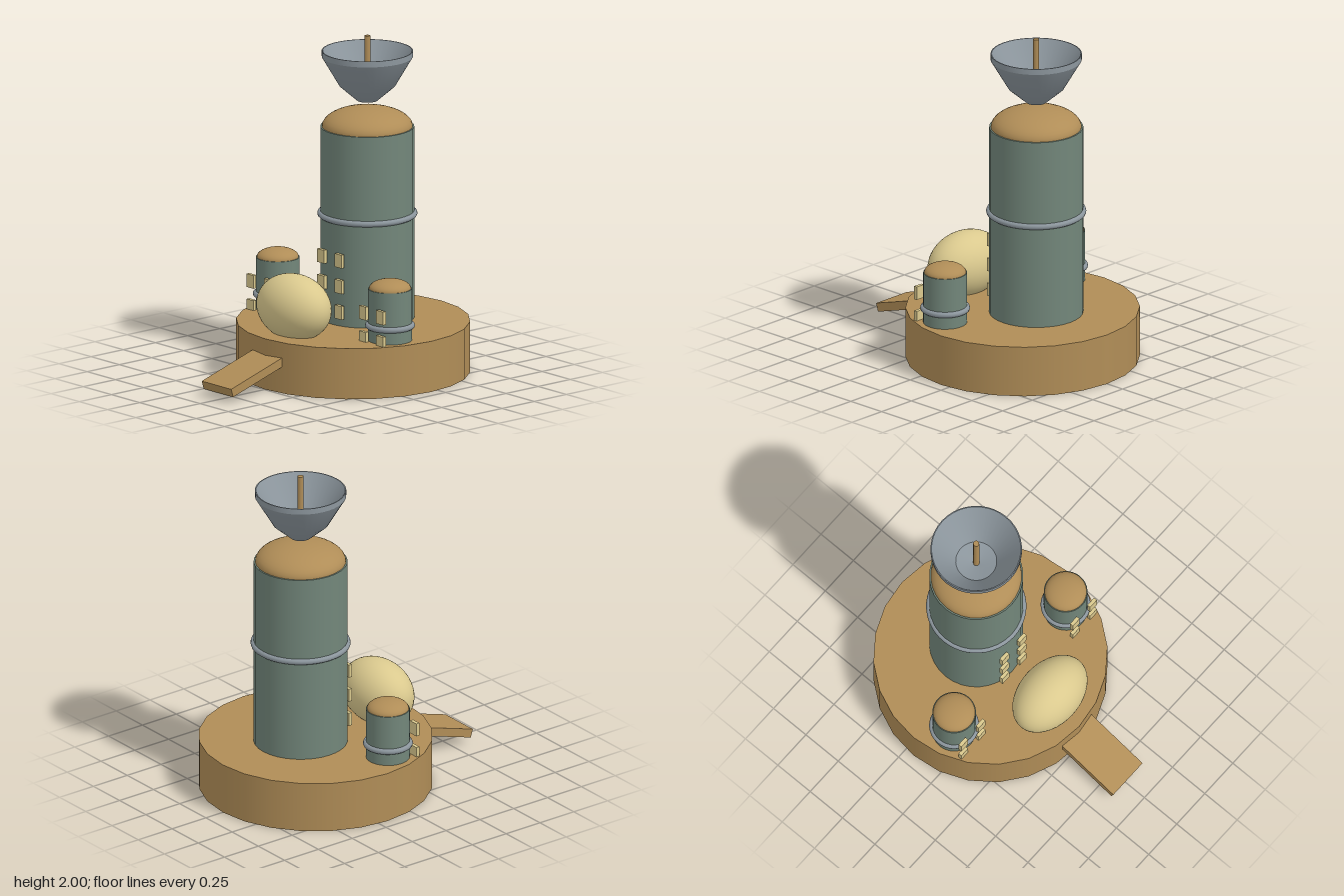
import * as THREE from 'three';
import { toCreasedNormals } from 'three/addons/utils/BufferGeometryUtils.js';

const material = (name, color) => {
  const m = new THREE.MeshStandardMaterial({ color });
  m.name = name;
  return m;
};

export function createModel() {
  const bronze = material('bronze', 0xb08d57);
  const green = material('grey green', 0x72867a);
  const steel = material('steel grey', 0x8c969d);
  const cream = material('pale yellow', 0xdac98e);

  const model = new THREE.Group();
  model.name = 'towerStation';

  const add = (parent, name, geometry, mat, x = 0, y = 0, z = 0) => {
    const mesh = new THREE.Mesh(geometry, mat);
    mesh.name = name;
    mesh.position.set(x, y, z);
    parent.add(mesh);
    return mesh;
  };

  // Round platform with the entry ramp
  add(model, 'platform', new THREE.CylinderGeometry(0.685, 0.685, 0.305, 24), bronze, 0, 0.1525, -0.19)
    .rotation.y = Math.PI / 2;
  add(model, 'ramp', new THREE.BoxGeometry(0.26, 0.052, 0.45), bronze, 0, 0.131, 0.65)
    .rotation.x = 0.3;

  // Tower: shaft, flattened dome, ring and rows of windows on the front
  function addTower(name, o) {
    const tower = new THREE.Group();
    tower.name = name;
    tower.position.set(o.x, 0, o.z);
    model.add(tower);
    const bottom = 0.02;
    add(tower, 'shaft', new THREE.CylinderGeometry(o.r, o.r, o.top - bottom, 32), green, 0, (o.top + bottom) / 2, 0);
    add(tower, 'dome', new THREE.SphereGeometry(o.domeR, 32, 10, 0, Math.PI * 2, 0, Math.PI / 2), bronze, 0, o.top, 0)
      .scale.y = o.domeH / o.domeR;
    add(tower, 'ring', new THREE.TorusGeometry(o.r, 0.018, 10, 48), steel, 0, o.ringY, 0)
      .rotation.x = Math.PI / 2;
    for (const y of o.windowRows) {
      for (const side of [-1, 1]) {
        add(tower, 'window', new THREE.BoxGeometry(0.06, 0.08, 0.022), cream, side * 0.077, y, o.r + 0.01);
      }
    }
  }

  addTower('mainTower', {
    x: 0, z: -0.3, r: 0.275, top: 1.455, domeR: 0.266, domeH: 0.115,
    ringY: 0.932, windowRows: [0.705, 0.55, 0.395],
  });
  for (const side of [-1, 1]) {
    addTower(side > 0 ? 'leftTower' : 'rightTower', {
      x: side * 0.497, z: -0.04, r: 0.128, top: 0.615, domeR: 0.123, domeH: 0.055,
      ringY: 0.394, windowRows: [0.477, 0.325],
    });
  }

  // Egg-shaped pod at the front
  add(model, 'pod', new THREE.SphereGeometry(1, 40, 24), cream, 0, 0.46, 0.27)
    .scale.set(0.264, 0.196, 0.18);

  // Hollow dish floating above the main tower, with its mast
  const profile = [
    [0, 1.61], [0.06, 1.61], [0.164, 1.7], [0.267, 1.875], [0.267, 1.91],
    [0.261, 1.91], [0.12, 1.7], [0, 1.665],
  ].map(([r, y]) => new THREE.Vector2(r, y));
  add(model, 'dish', toCreasedNormals(new THREE.LatheGeometry(profile, 40), 0.35), steel, 0, 0, -0.3);
  add(model, 'mast', new THREE.CylinderGeometry(0.018, 0.018, 0.34, 12), bronze, 0, 1.83, -0.3);

  return model;
}
